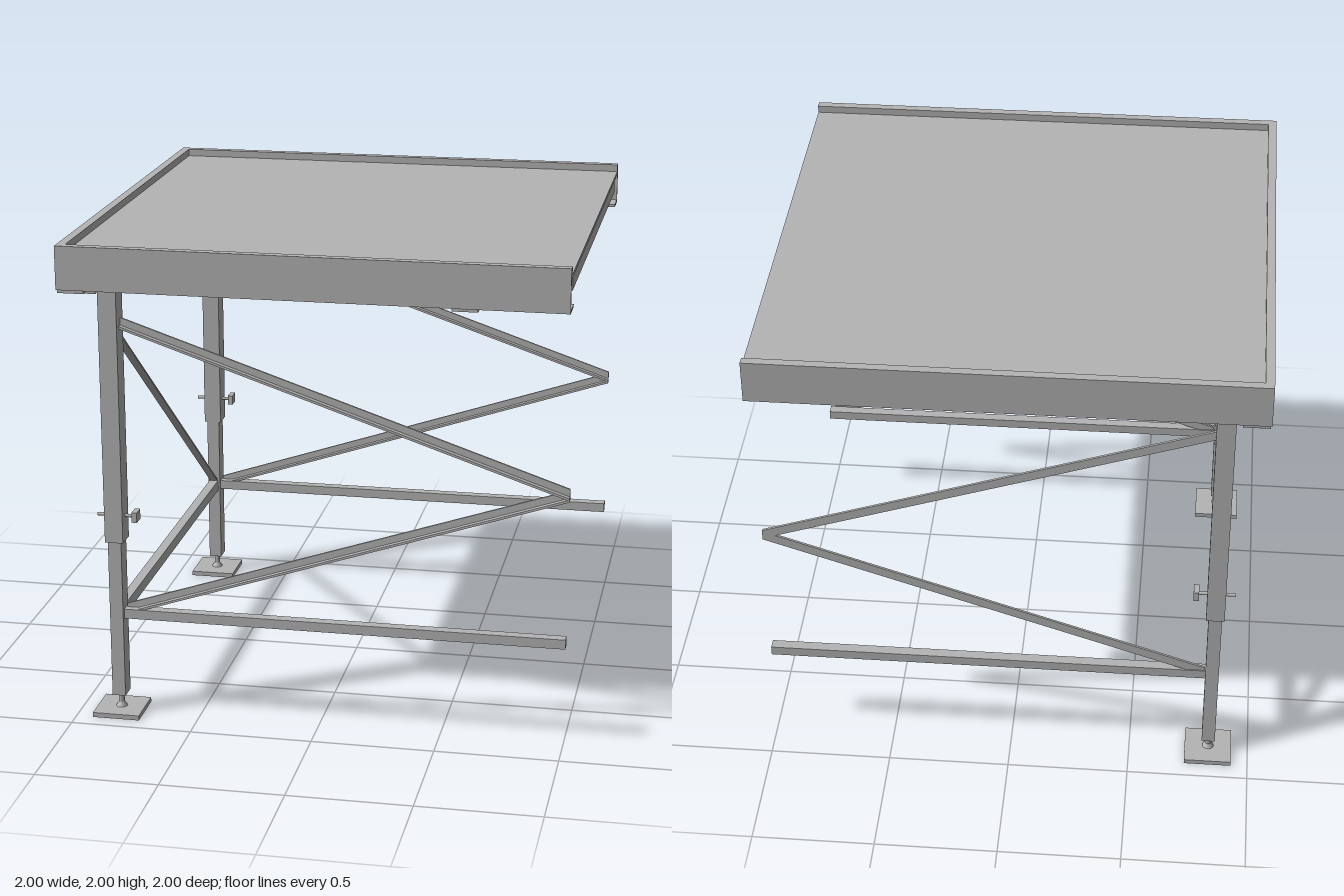
import * as THREE from 'three';

export function createModel() {
  const root = new THREE.Group();
  root.name = 'modularPlatform';
  const steel = new THREE.MeshStandardMaterial({ color: 0xb4b4b4 });
  steel.name = 'grey steel';

  const add = (name, geo, parent = root) => {
    const m = new THREE.Mesh(geo, steel);
    m.name = name;
    parent.add(m);
    return m;
  };
  // box from its minimum and maximum corners
  const box = (name, x0, x1, y0, y1, z0, z1, parent) => {
    const m = add(name, new THREE.BoxGeometry(x1 - x0, y1 - y0, Math.abs(z1 - z0)), parent);
    m.position.set((x0 + x1) / 2, (y0 + y1) / 2, (z0 + z1) / 2);
    return m;
  };
  // sloping bar with upright cut ends; a and b are [along, bottom height]
  const slopedPlate = (a, b, height, depth) => {
    const s = new THREE.Shape();
    s.moveTo(a[0], a[1]);
    s.lineTo(b[0], b[1]);
    s.lineTo(b[0], b[1] + height);
    s.lineTo(a[0], a[1] + height);
    s.closePath();
    return new THREE.ExtrudeGeometry(s, { depth, bevelEnabled: false });
  };
  // angle section: upright web plus a thin bottom flange
  const angleBar = (name, a, b, height, width, parent) => {
    const g = new THREE.Group();
    g.name = name;
    add('web', slopedPlate(a, b, height, 0.01), g);
    add('flange', slopedPlate(a, b, 0.01, width), g);
    parent.add(g);
    return g;
  };

  // deck and the joists below it
  box('deck', -0.985, 1, 1.955, 1.97, -0.985, 0.985);
  box('endJoist', 0.955, 0.995, 1.89, 1.955, -0.895, 0.895);
  box('middleJoist', -0.03, 0.03, 1.89, 1.955, -0.985, 0.985);

  // closed end channel
  box('endWeb', -1, -0.988, 1.825, 2, -1, 1);
  box('endLip', -0.99, -0.965, 1.97, 2, -0.99, 0.99);
  box('endFlange', -0.99, -0.89, 1.825, 1.837, -0.99, 0.99);

  for (const s of [1, -1]) {
    const side = s > 0 ? 'front' : 'back';
    const g = new THREE.Group();
    g.name = side + 'Frame';
    root.add(g);

    // side channel
    box('sideWeb', -1, 1, 1.825, 2, s * 0.988, s, g);
    box('sideLip', -0.99, 1, 1.97, 2, s * 0.965, s * 0.99, g);
    box('sideFlange', -0.99, 1, 1.825, 1.837, s * 0.89, s * 0.99, g);

    // connector plates under the channels
    box('sidePlate', 0.55, 0.65, 1.812, 1.825, s * 0.89, s * 0.99, g);
    box('endPlate', -0.99, -0.89, 1.812, 1.825, s * 0.35, s * 0.45, g);
    box('cornerPlate', -0.995, -0.89, 1.812, 1.825, s * 0.89, s * 0.995, g);
    box('cornerClip', -0.91, -0.86, 1.8, 1.814, s * 0.86, s * 0.94, g);

    // telescopic leg
    const leg = new THREE.Group();
    leg.name = side + 'Leg';
    g.add(leg);
    box('headPlate', -0.9, -0.775, 1.81, 1.84, s * 0.77, s * 0.9, leg);
    box('legHead', -0.89, -0.78, 1.84, 1.955, s * 0.775, s * 0.895, leg);
    box('outerTube', -0.87, -0.795, 0.75, 1.82, s * 0.79, s * 0.88, leg);
    box('innerTube', -0.86, -0.805, 0.08, 0.76, s * 0.797, s * 0.873, leg);
    const screw = add('footScrew', new THREE.CylinderGeometry(0.012, 0.012, 0.08, 16), leg);
    screw.position.set(-0.833, 0.05, s * 0.833);
    const collar = add('footCollar', new THREE.CylinderGeometry(0.013, 0.025, 0.02, 16), leg);
    collar.position.set(-0.833, 0.028, s * 0.833);
    box('footPlate', -0.93, -0.735, 0, 0.02, s * 0.735, s * 0.93, leg);

    // locking pin
    const pin = add('lockPin', new THREE.CylinderGeometry(0.007, 0.007, 0.17, 12), leg);
    pin.rotation.z = Math.PI / 2;
    pin.position.set(-0.825, 0.855, s * 0.833);
    box('pinHead', -0.762, -0.74, 0.835, 0.877, s * 0.806, s * 0.86, leg);

    // long rail, open tube at its end
    const hw = 0.022, t = 0.006;
    const tube = new THREE.Shape([[-hw, -0.02], [hw, -0.02], [hw, 0.02], [-hw, 0.02]].map(p => new THREE.Vector2(...p)));
    tube.holes.push(new THREE.Path([[-hw + t, -0.02 + t], [-hw + t, 0.02 - t], [hw - t, 0.02 - t], [hw - t, -0.02 + t]].map(p => new THREE.Vector2(...p))));
    const rail = add('longRail', new THREE.ExtrudeGeometry(tube, { depth: 1.81, bevelEnabled: false }), g);
    rail.rotation.y = Math.PI / 2;
    rail.position.set(-0.81, 0.436, s * 0.833);

    // pair of long braces meeting at the open end
    angleBar('upperBrace', [-0.8, 1.64], [1, 1.035], 0.04, 0.035, g).position.z = s * 0.833 - 0.018;
    angleBar('lowerBrace', [-0.8, 0.43], [1, 1.03], 0.04, 0.035, g).position.z = s * 0.833 - 0.018;
  }

  // cross rail and diagonal between the legs
  box('crossRail', -0.853, -0.813, 0.413, 0.46, -0.8, 0.8);
  const cross = angleBar('crossBrace', [-0.8, 1.62], [0.8, 0.455], 0.048, 0.035, root);
  cross.rotation.y = Math.PI / 2;
  cross.position.x = -0.85;

  return root;
}
